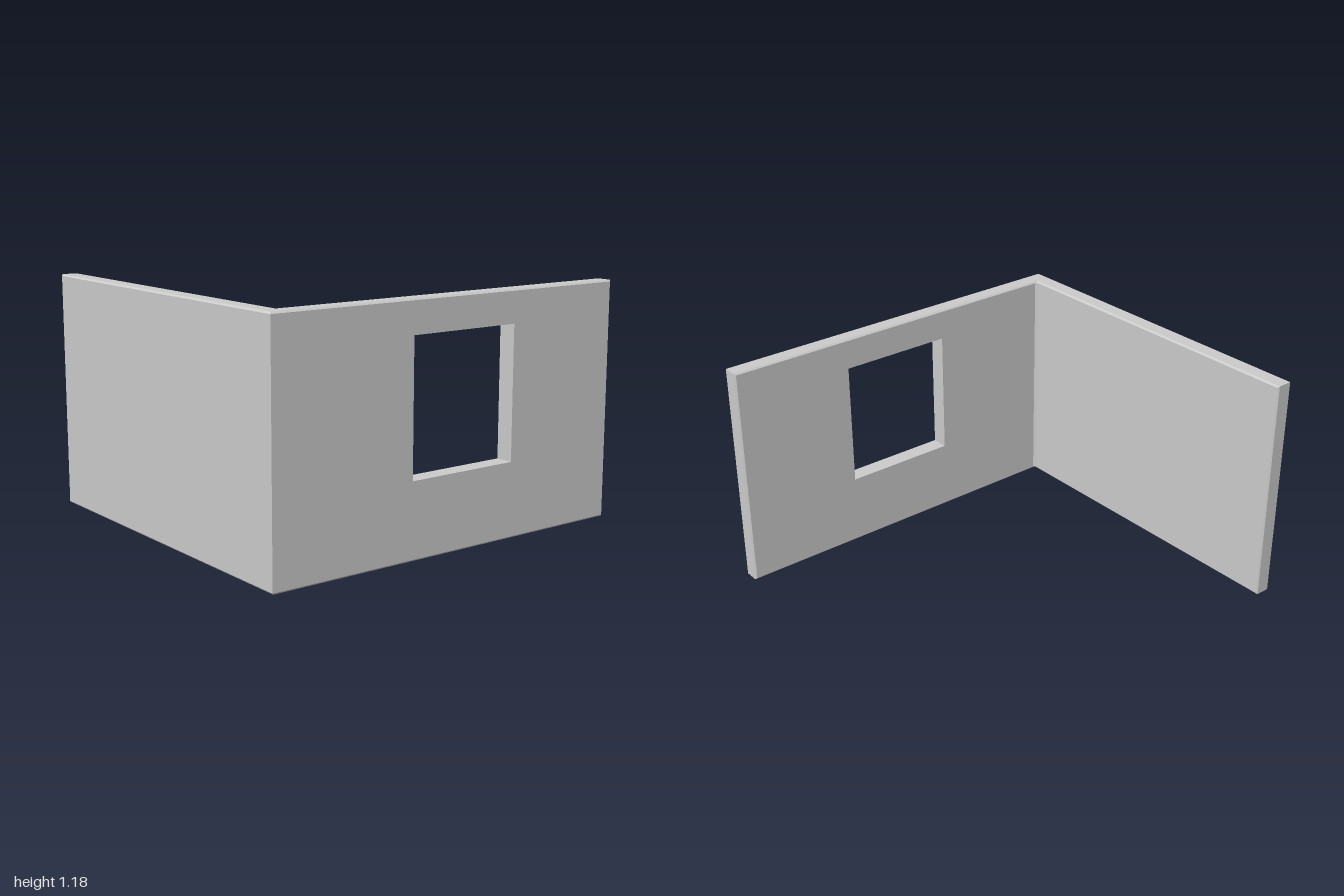
import * as THREE from 'three';

const H = 1.18, T = 0.09, B = 0.008; // wall height, thickness, edge chamfer
const material = new THREE.MeshStandardMaterial({ color: 0xcccccc, flatShading: true });

const corners = (u0, u1, y0, y1) =>
  [[u0, y0], [u1, y0], [u1, y1], [u0, y1]].map(([u, y]) => new THREE.Vector2(u, y));

// Chamfered wall running along x, mitred at its +x end, with an optional sharp-edged opening
function wallGeometry(half, outerIsFront, opening) {
  const shape = new THREE.Shape(corners(-half, half, 0, H));
  if (opening) shape.holes.push(new THREE.Path(corners(...opening).reverse()));
  const geo = new THREE.ExtrudeGeometry(shape, {
    depth: T - 2 * B, bevelThickness: B, bevelSize: B, bevelOffset: -B, bevelSegments: 1
  });
  geo.translate(0, 0, B);

  const p = geo.attributes.position;
  const nearest = (v, a, b) => (Math.abs(v - a) < Math.abs(v - b) ? a : b);
  for (let i = 0; i < p.count; i++) {
    const u = p.getX(i), y = p.getY(i), z = p.getZ(i);
    if (u > half - 3 * B) {
      // mitre the corner end
      p.setX(i, half - (outerIsFront ? T - z : z));
    } else if (opening) {
      // keep the opening's edges square
      const [u0, u1, y0, y1] = opening, m = 3 * B;
      if (u > u0 - m && u < u1 + m && y > y0 - m && y < y1 + m) {
        p.setXY(i, nearest(u, u0, u1), nearest(y, y0, y1));
      }
    }
  }
  geo.computeVertexNormals();
  return geo;
}

export function createModel() {
  const group = new THREE.Group();
  group.name = 'cornerWalls';
  const add = (name, geo) => {
    const mesh = new THREE.Mesh(geo, material);
    mesh.name = name;
    group.add(mesh);
  };

  // Solid front wall
  add('frontWall', wallGeometry(0.92, true).translate(0, 0, 1 - T));

  // Side wall with the window opening
  add('windowWall', wallGeometry(1, false, [-0.355, 0.245, 0.37, 1.02])
    .rotateY(-Math.PI / 2).translate(0.92, 0, 0));

  // Small chamfer strip in the inside corner
  add('innerCorner', new THREE.CylinderGeometry(0.012, 0.012, H - 2 * B, 4)
    .translate(0.92 - T, H / 2, 1 - T));

  return group;
}
